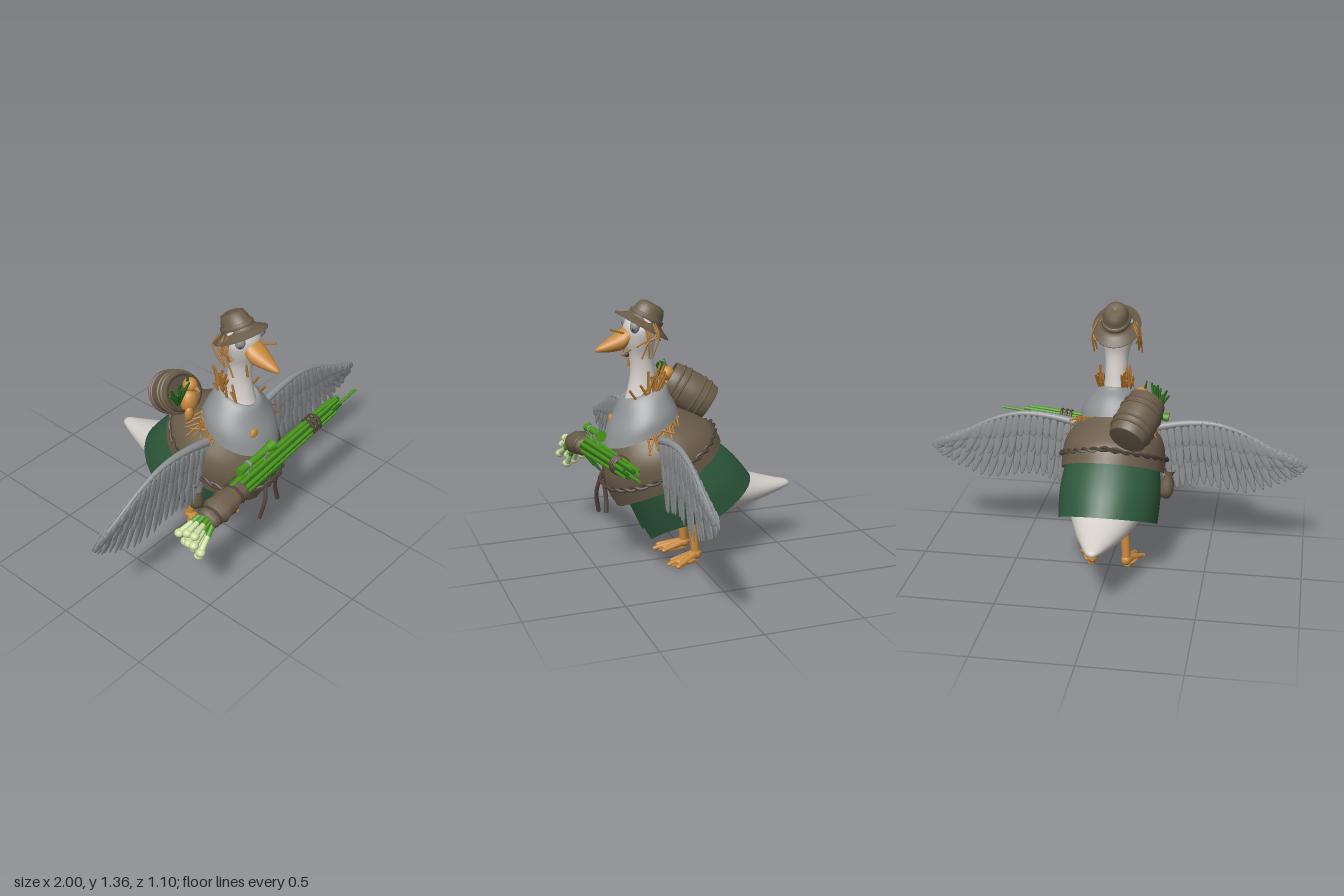
import * as THREE from 'three';
import { mergeGeometries } from 'three/addons/utils/BufferGeometryUtils.js';

const V = (x, y, z) => new THREE.Vector3(x, y, z);
const mat = (name, color) => new THREE.MeshStandardMaterial({ name, color, side: THREE.DoubleSide });

// Moves a geometry built up the y axis so that it starts at a and points to b
function aim(geo, a, b) {
  const q = new THREE.Quaternion().setFromUnitVectors(V(0, 1, 0), b.clone().sub(a).normalize());
  return geo.applyQuaternion(q).translate(a.x, a.y, a.z);
}
function rod(a, b, r1, r2 = r1, sides = 8) {
  const len = a.distanceTo(b);
  return aim(new THREE.CylinderGeometry(r2, r1, len, sides).translate(0, len / 2, 0), a, b);
}
function lathe(points, sides = 24) {
  return new THREE.LatheGeometry(points.map(p => new THREE.Vector2(p[0], p[1])), sides);
}
function ball(x, y, z, rx, ry = rx, rz = rx) {
  return new THREE.SphereGeometry(1, 14, 10).scale(rx, ry, rz).translate(x, y, z);
}
function tube(points, r, closed = false) {
  return new THREE.TubeGeometry(new THREE.CatmullRomCurve3(points, closed), points.length * 4, r, 6, closed);
}
// Point on an oval ring, from its back (z, y, half width) and front (z, y)
function ringPoint(B, F, a) {
  const c = Math.cos(a), s = Math.sin(a);
  return V(B.z * s, (B.y + F.y) / 2 + (F.y - B.y) / 2 * c, (B.x + F.x) / 2 + (F.x - B.x) / 2 * c);
}
// Smooth skin through rings of [back z, back y, front z, front y, half width];
// slit opens the front downwards, lift raises the hem beside the front corners
function loft(rings, { slit = 0, lift = 0, seg = 36, sub = 4 } = {}) {
  const back = new THREE.CatmullRomCurve3(rings.map(r => V(r[0], r[1], r[4])), false, 'catmullrom');
  const front = new THREE.CatmullRomCurve3(rings.map(r => V(r[2], r[3], 0)), false, 'catmullrom');
  const rows = (rings.length - 1) * sub, cols = slit ? seg + 1 : seg, pos = [], idx = [];
  for (let i = 0; i <= rows; i++) {
    const t = i / rows, B = back.getPoint(t), F = front.getPoint(t), gap = slit * t * t;
    for (let j = 0; j < cols; j++) {
      const a = gap + (j / seg) * (2 * Math.PI - 2 * gap), p = ringPoint(B, F, a);
      p.y += lift * t * t * Math.max(0, Math.abs(p.x) - .06) * Math.max(0, Math.cos(a));
      pos.push(p.x, p.y, p.z);
    }
  }
  for (let i = 0; i < rows; i++) for (let j = 0; j < seg; j++) {
    const a = i * cols + j, b = i * cols + (j + 1) % cols;
    idx.push(a, a + cols, b, b, a + cols, b + cols);
  }
  const g = new THREE.BufferGeometry();
  g.setAttribute('position', new THREE.Float32BufferAttribute(pos, 3));
  g.setIndex(idx);
  g.computeVertexNormals();
  return g;
}

export function createModel() {
  const model = new THREE.Group();
  const white = mat('white plumage', 0xd6d0cb), grey = mat('grey', 0x8f9294), brown = mat('brown cloth', 0x6b5d4a),
    dark = mat('dark rope', 0x51443a), green = mat('green cloth', 0x2e593c), orange = mat('orange skin', 0xc88a3e),
    straw = mat('straw', 0xb0762f), leek = mat('leek green', 0x4c981c), leaf = mat('dark leaf', 0x28661c),
    pale = mat('pale bulb', 0xc9dca0);
  const add = (name, geo, m, parent = model) => {
    const mesh = new THREE.Mesh(Array.isArray(geo) ? mergeGeometries(geo) : geo, m);
    mesh.name = name;
    parent.add(mesh);
    return mesh;
  };
  let seed = 7;
  const rnd = (lo, hi) => {
    seed = (seed * 16807) % 2147483647;
    return lo + (hi - lo) * (seed / 2147483647);
  };

  // Bird: body with tail, neck and head
  add('bodyAndTail', loft([[.28, .72, .31, .5, .03], [.2, .72, .22, .29, .17], [.05, .62, .08, .245, .2], [-.1, .53, -.1, .235, .19],
    [-.3, .425, -.28, .25, .13], [-.45, .375, -.44, .285, .07], [-.54, .35, -.54, .315, .028], [-.555, .335, -.555, .33, .004]]), white);
  add('neckAndHead', loft([[.235, 1.3, .24, 1.3, .005], [.2, 1.285, .3, 1.285, .065], [.178, 1.23, .335, 1.23, .097], [.18, 1.16, .33, 1.16, .085],
    [.19, 1.09, .312, 1.09, .062], [.18, 1, .305, 1, .058], [.16, .9, .325, .9, .068], [.12, .8, .36, .8, .09]]), white);
  add('beak', loft([[.345, 1.125, .3, 1.24, .057], [.36, 1.118, .35, 1.22, .059], [.42, 1.113, .42, 1.175, .036],
    [.47, 1.116, .47, 1.142, .014], [.482, 1.122, .482, 1.128, .002]]), orange);
  for (const s of [-1, 1]) {
    add('eyePatch', ball(s * .07, 1.245, .3, .026, .034, .026), grey);
    add('eye', ball(s * .086, 1.235, .314, .008, .009, .008), dark);
  }

  // Clothes
  add('collar', loft([[.16, .91, .325, .87, .065], [.13, .945, .355, .875, .09], [.11, .89, .388, .8, .145], [.085, .84, .425, .72, .18],
    [.065, .8, .447, .64, .19]]), grey);
  add('tunic', loft([[.09, .82, .43, .67, .165], [.06, .8, .44, .63, .19], [-.05, .745, .45, .55, .245], [-.11, .705, .445, .45, .265],
    [-.152, .64, .395, .33, .267]], { slit: .1, lift: .25 }), brown);
  add('skirt', loft([[-.08, .66, .395, .55, .215], [-.155, .6, .36, .42, .245], [-.245, .515, .3, .28, .26], [-.32, .42, .235, .13, .255]],
    { slit: .26, lift: .55 }), green);
  add('button', ball(-.06, .755, .392, .029, .029, .014), orange);
  // Two twisted strands sagging at the sides
  add('beltRope', [0, Math.PI].map(phase => {
    const points = [];
    for (let i = 0; i < 120; i++) {
      const a = i / 120 * Math.PI * 2, twist = i * Math.PI / 4 + phase, wide = .008 * Math.sin(twist);
      const p = ringPoint(V(-.118 - wide, .705, .272 + wide), V(.456 + wide, .45, 0), a);
      p.y += .008 * Math.cos(twist) - .03 * Math.abs(Math.sin(a));
      points.push(p);
    }
    return tube(points, .008, true);
  }), dark);
  add('hangingRopes', [-.04, .03].map((x, i) => tube([V(x, .46, .46), V(x * 1.5, .38, .475 - i * .02), V(x * 2, .27 + i * .04, .46)], .011)), dark);
  add('hipPouch', aim(lathe([[0, 0], [.03, .005], [.042, .04], [.035, .09], [.018, .125], [.03, .16]], 14), V(-.262, .32, .2), V(-.29, .48, .2)), brown);

  // Hat, tipped back
  const hat = new THREE.Group();
  hat.name = 'hat';
  hat.position.set(0, 1.235, .243);
  hat.rotation.x = -.53;
  hat.scale.x = .83;
  model.add(hat);
  add('hatBrimAndCrown', lathe([[.148, -.008], [.15, 0], [.105, .022], [.086, .036], [.076, .08], [.064, .108], [.04, .118], [0, .108]], 28), brown, hat);
  add('hatBand', lathe([[.089, .036], [.092, .042], [.09, .056], [.08, .06]], 28), brown, hat);

  // Straw poking out of collar, tunic, hat and beak
  const neckStraw = [], hairStraw = [];
  for (let i = 0; i < 30; i++) {
    const a = (i % 2 ? 1 : -1) * rnd(.9, 2.6), p = ringPoint(V(.15, .9, .085), V(.34, .85, 0), a);
    neckStraw.push(rod(p, V(p.x * rnd(.9, 1.3), p.y + rnd(.07, .15), p.z + rnd(-.07, .06)), .007, .006, 5));
  }
  for (let i = 0; i < 40; i++) {
    const a = (i % 2 ? 1 : -1) * rnd(1.4, 2.6), p = ringPoint(V(.065, .8, .188), V(.447, .64, 0), a);
    neckStraw.push(rod(p, V(p.x * rnd(1.15, 1.5), p.y - rnd(0, .08), p.z + rnd(-.07, .05)), .006, .004, 5));
  }
  for (let i = 0; i < 18; i++) {
    const s = i % 2 ? 1 : -1, z = rnd(.19, .27), x = s * rnd(.09, .102), end = rnd(1.07, 1.18);
    hairStraw.push(tube([V(x, 1.26, z), V(s * .118, 1.2, z + rnd(-.02, .01)), V(s * rnd(.095, .125), end, z + rnd(-.03, .05))], .004));
  }
  add('collarStraw', neckStraw, straw);
  add('hairStraw', hairStraw, straw);
  add('beakStraw', [rod(V(.03, 1.2, .32), V(.05, 1.235, .42), .005), rod(V(-.03, 1.14, .3), V(-.02, 1.03, .31), .006),
    rod(V(.05, 1.13, .32), V(.08, 1.11, .37), .006)], straw);
  add('beakSprig', ball(.07, 1.112, .345, .013), dark);

  // Wings: leading arm plus layers of feathers
  const lead = new THREE.CatmullRomCurve3([V(.1, .67, 0), V(.22, .705, 0), V(.38, .735, 0), V(.52, .735, 0), V(.66, .695, 0), V(.8, .625, 0), V(.92, .565, 0)]);
  const trail = new THREE.CatmullRomCurve3([V(.28, .355, 0), V(.35, .37, 0), V(.45, .395, 0), V(.56, .38, 0), V(.69, .36, 0), V(.81, .4, 0), V(.91, .45, 0), V(.97, .49, 0), V(1, .53, 0)]);
  const feather = (a, b, w, z) => {
    const d = b.clone().sub(a), len = d.length();
    return new THREE.SphereGeometry(1, 8, 8).scale(w, len / 2, .005).rotateZ(Math.atan2(d.y, d.x) - Math.PI / 2)
      .translate((a.x + b.x) / 2, (a.y + b.y) / 2, z);
  };
  for (const s of [1, -1]) {
    const wing = new THREE.Group();
    wing.name = s > 0 ? 'leftWing' : 'rightWing';
    wing.position.z = .22;
    model.add(wing);
    const feathers = [], coverts = [], n = 22;
    for (let i = 0; i <= n; i++) {
      const t = i / n, root = lead.getPoint(.16 + .84 * t), tip = trail.getPoint(t);
      feathers.push(feather(root, tip, .024, (i % 3 - 1) * .004));
      for (const side of [-1, 1]) {
        coverts.push(feather(root, root.clone().lerp(tip, .62 + i % 2 * .06), .022, side * (.009 + i % 2 * .003)));
        coverts.push(feather(root, root.clone().lerp(tip, .36), .022, side * (.013 + i % 2 * .002)));
      }
    }
    const arm = [];
    for (let i = 0; i < 24; i++) {
      const r = k => .025 * (1 - .8 * k / 24);
      arm.push(rod(lead.getPoint(i / 24), lead.getPoint((i + 1) / 24), r(i), r(i + 1), 10));
    }
    const parts = [add('flightFeathers', feathers, grey, wing), add('coverts', coverts, grey, wing), add('wingArm', arm, grey, wing)];
    // Mirror by turning about y, as the wing is the same front and back
    if (s < 0) parts.forEach(p => p.geometry.rotateY(Math.PI));

    // Legs and webbed feet
    const leg = new THREE.Group();
    leg.name = s > 0 ? 'leftLeg' : 'rightLeg';
    model.add(leg);
    const ankle = V(s * .09, .045, -.002);
    add('shin', [rod(V(s * .08, .28, .008), V(s * .082, .18, .01), .038, .024, 12), rod(V(s * .082, .18, .01), ankle, .024, .022, 12),
      ball(ankle.x, .037, -.004, .027, .028, .028)], orange, leg);
    const toes = [[.068, .115], [.115, .148], [.162, .115]].map(p => V(s * p[0], .011, p[1]));
    add('toes', toes.map(t => rod(ankle.clone().setY(.04), t, .024, .011, 8)).concat(toes.map(t => ball(t.x, .01, t.z, .014, .01, .013)),
      ball(s * .108, .016, .06, .038, .018, .06), rod(ankle.clone().setY(.035), V(s * .085, .04, -.035), .016, .008)), orange, leg);
    const web = new THREE.Shape();
    web.moveTo(s * .08, -.01);
    toes.forEach((t, i) => {
      if (i) web.lineTo((toes[i - 1].x + t.x) / 2, .115);
      web.lineTo(t.x, t.z);
    });
    web.lineTo(s * .108, -.01);
    add('web', new THREE.ExtrudeGeometry(web, { depth: .01, bevelEnabled: false }).rotateX(Math.PI / 2).translate(0, .012, 0), orange, leg);
  }

  // Barrel on the back, with a chick and leaves in its mouth
  const back = V(-.108, .772, -.15), mouth = V(-.185, .905, .05);
  add('barrel', aim(lathe([[0, 0], [.088, 0], [.094, .005], [.104, .06], [.108, .125], [.103, .19], [.096, .25], [.082, .25], [.08, .2], [0, .2]], 28), back, mouth), brown);
  add('barrelHoops', [[.05, .103], [.085, .106], [.17, .105], [.205, .101]].map(([y, r]) =>
    aim(new THREE.TorusGeometry(r, .007, 6, 28).rotateX(Math.PI / 2).translate(0, y, 0), back, mouth)), brown);
  add('barrelInside', aim(new THREE.CircleGeometry(.08, 24).rotateX(-Math.PI / 2).translate(0, .215, 0), back, mouth), dark);
  add('chick', [ball(-.155, .94, .062, .037), ball(-.175, .86, .075, .05, .065, .04), ball(-.205, .81, .1, .025, .04, .02),
    rod(V(-.152, .935, .08), V(-.145, .915, .118), .02, .003)], orange);
  const leaves = [];
  for (let i = 0; i < 9; i++) leaves.push(rod(V(-.23, .86, .05), V(-.295 + i * .012, rnd(.93, 1.01), rnd(.04, .1)), .014, .005, 5));
  leaves.push(rod(V(-.17, .965, .06), V(-.18, 1.01, .07), .009, .002, 5));
  add('barrelLeaves', leaves, leaf);

  // Bundle of leeks held across the front
  const along = (x, dy, dz) => V(x, .6 + .12 * x + dy, .46 + dz);
  const light = [], shade = [];
  for (let i = 0; i < 16; i++) {
    const a = i * 2.4, r = .037 * Math.sqrt((i + .5) / 16);
    const stalk = rod(along(-.3, Math.cos(a) * r * 1.2, Math.sin(a) * r * 1.2), along(rnd(.42, .58), Math.cos(a) * r, Math.sin(a) * r), .013, .009, 7);
    (i % 3 ? light : shade).push(stalk);
  }
  light.push(rod(along(.1, -.01, .015), along(.66, -.008, .015), .009, .007, 7));
  for (let i = 0; i < 9; i++) {
    shade.push(rod(along(-.26, -.03, rnd(-.07, .05)), along(rnd(-.12, .1), rnd(-.085, -.03), rnd(-.07, .04)), .016, .006, 5));
  }
  add('leekStalks', light, leek);
  add('leekLeaves', shade, leaf);
  add('bundleRope', [.285, .31, .335].map(x => aim(new THREE.TorusGeometry(.038, .01, 6, 18).rotateX(Math.PI / 2), along(x, 0, 0), along(x + 1, 0, 0))), dark);
  // Wrap runs down to the bulbs, gathered by ropes at both ends
  const low = V(-.485, .525, .465), high = V(-.24, .57, .465);
  const flat = geo => aim(geo.scale(.8, 1, 1), low, high);
  add('clothWrap', flat(lathe([[.045, -.01], [.06, 0], [.066, .02], [.058, .035], [.079, .07], [.07, .11], [.076, .14], [.058, .19], [.066, .24], [.045, .255]], 9)), brown);
  add('wrapRope', [[.035, .06], [.2, .06]].map(([y, r]) => flat(new THREE.TorusGeometry(r, .007, 6, 18).rotateX(Math.PI / 2).translate(0, y, 0))), dark);
  const stems = [], bulbs = [];
  for (let i = 0; i < 11; i++) {
    const a = i * 2.4, r = .08 * Math.sqrt((i + .5) / 11), c = Math.cos(a) * r, s = Math.sin(a) * r;
    const tip = V(-.585 - c * .45 + (i % 3 - 1) * .018, .445 + c, .465 + s), root = V(-.46, .53 + c * .4, .465 + s * .5);
    const mid = root.clone().lerp(tip, .5);
    stems.push(rod(root, mid, .013, .013));
    bulbs.push(rod(mid, tip, .013, .018), ball(tip.x, tip.y, tip.z, .024, .021, .024));
  }
  add('bulbStems', stems, leek);
  add('bulbs', bulbs, pale);

  // Sighting leek above the bundle
  const sight = [V(-.25, .668, .46), V(0, .69, .46)];
  add('sight', [rod(...sight, .018, .018, 12), rod(V(-.045, .686, .46), sight[1], .02, .029, 12), rod(sight[0], V(-.215, .671, .46), .024, .019, 12)], leek);
  add('sightRings', [-.19, -.07].map(x => rod(V(x, .673, .46), V(x + .014, .675, .46), .022, .022, 12))
    .concat([-.18, -.06].map(x => rod(V(x, .59, .46), V(x, .675, .46), .007))), grey);
  return model;
}
